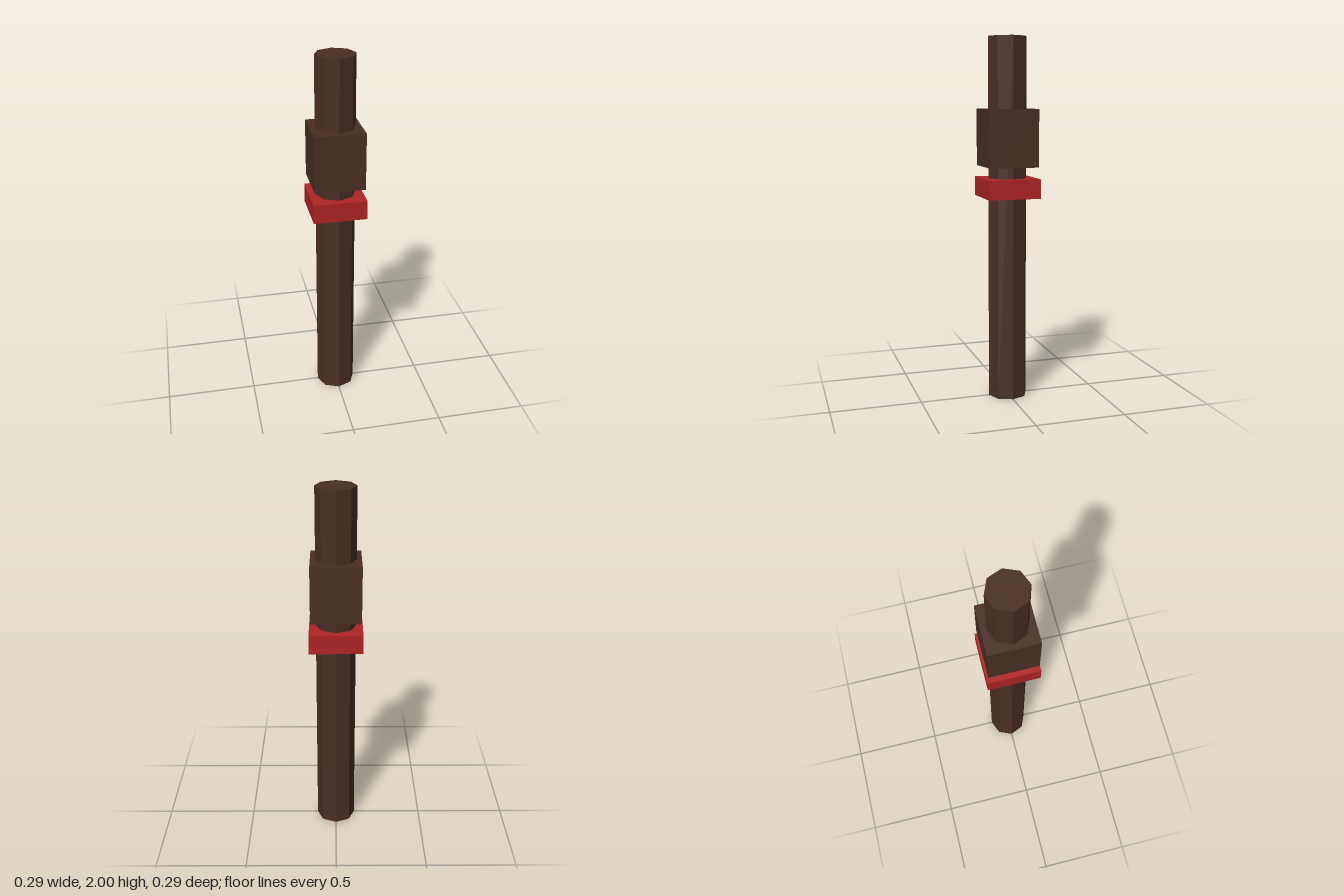
import * as THREE from 'three';

export function createModel() {
  const group = new THREE.Group();

  const darkWood = new THREE.MeshStandardMaterial({ color: 0x4a2f25, flatShading: true });
  darkWood.name = 'darkWood';
  const redPaint = new THREE.MeshStandardMaterial({ color: 0xb02424, flatShading: true });
  redPaint.name = 'redPaint';

  const add = (name, geometry, material, y) => {
    const mesh = new THREE.Mesh(geometry, material);
    mesh.name = name;
    mesh.position.y = y;
    group.add(mesh);
  };

  // Octagonal post with a corner facing forward
  add('post', new THREE.CylinderGeometry(0.109, 0.109, 2, 8), darkWood, 1);
  // Square block around the upper post
  add('block', new THREE.BoxGeometry(0.273, 0.314, 0.273), darkWood, 1.457);
  // Painted square collar below the block
  add('collar', new THREE.BoxGeometry(0.291, 0.106, 0.291), redPaint, 1.184);

  return group;
}
